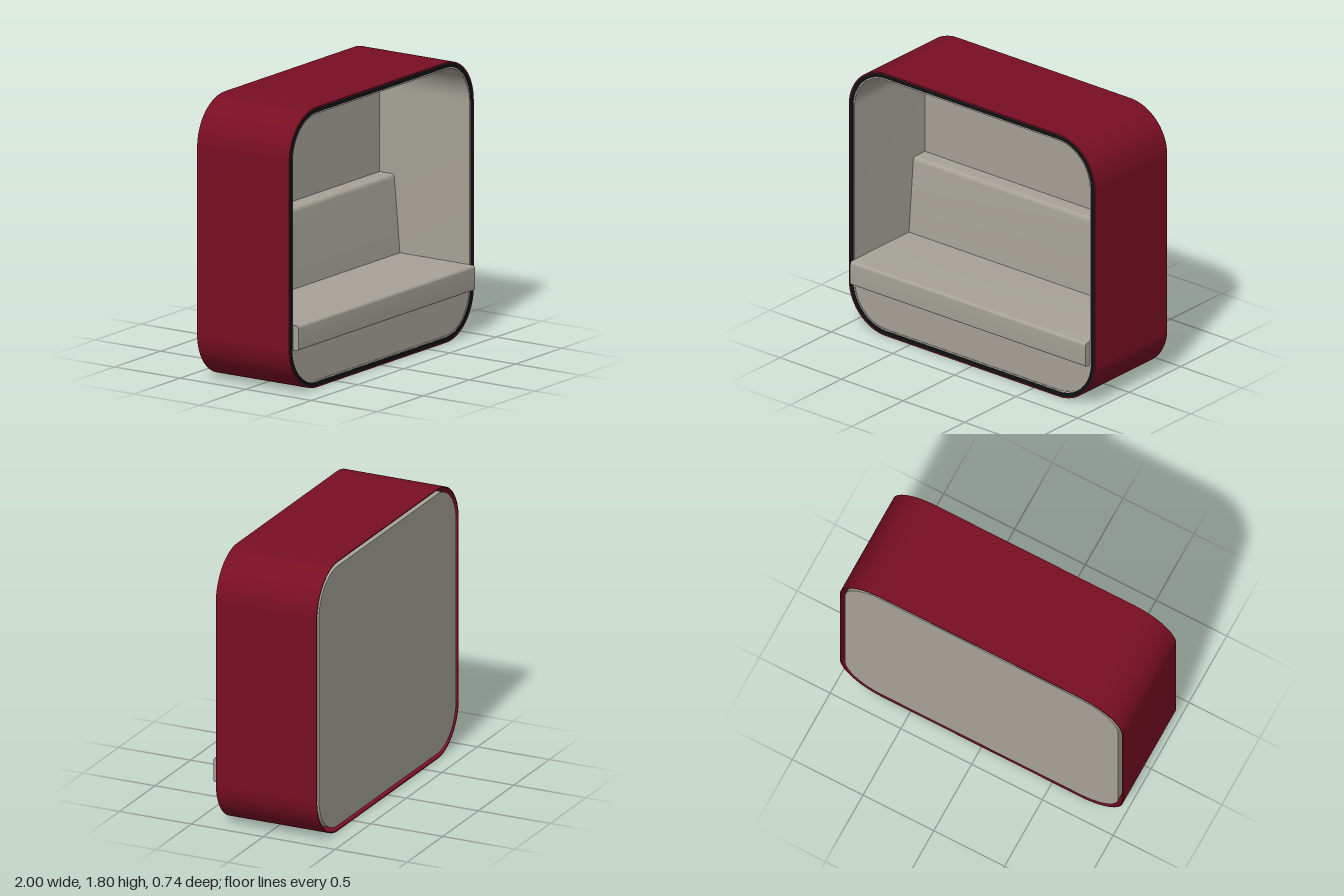
import * as THREE from 'three';
import { toCreasedNormals } from 'three/addons/utils/BufferGeometryUtils.js';

const HALF_W = 1, HALF_H = 0.9, RADIUS = 0.3;

// Rounded rectangle, inset evenly from the outer outline
function outline(inset, Type = THREE.Shape) {
  const w = HALF_W - inset, b = inset, t = 2 * HALF_H - inset, r = RADIUS - inset;
  const s = new Type();
  s.moveTo(-w + r, b);
  s.lineTo(w - r, b);
  s.absarc(w - r, b + r, r, -Math.PI / 2, 0, false);
  s.lineTo(w, t - r);
  s.absarc(w - r, t - r, r, 0, Math.PI / 2, false);
  s.lineTo(-w + r, t);
  s.absarc(-w + r, t - r, r, Math.PI / 2, Math.PI, false);
  s.lineTo(-w, b + r);
  s.absarc(-w + r, b + r, r, Math.PI, Math.PI * 1.5, false);
  return s;
}

// Extrude a front-facing shape between two depths
function slab(shape, z0, z1) {
  const g = new THREE.ExtrudeGeometry(shape, { depth: z1 - z0, bevelEnabled: false, curveSegments: 20 });
  return toCreasedNormals(g.translate(0, 0, z0), 0.6);
}

function ring(outer, inner, z0, z1) {
  const s = outline(outer);
  s.holes.push(outline(inner, THREE.Path));
  return slab(s, z0, z1);
}

// Extrude a side profile of [z, y, cornerRadius] points across the width
function acrossWidth(points, halfWidth) {
  const s = new THREE.Shape();
  const n = points.length;
  points.forEach(([z, y, r], i) => {
    const p = new THREE.Vector2(z, y);
    const toward = (q) => new THREE.Vector2(q[0], q[1]).sub(p).setLength(r).add(p);
    const a = toward(points[(i + n - 1) % n]), b = toward(points[(i + 1) % n]);
    if (i === 0) s.moveTo(a.x, a.y); else s.lineTo(a.x, a.y);
    if (r > 0) s.quadraticCurveTo(p.x, p.y, b.x, b.y);
  });
  const g = new THREE.ExtrudeGeometry(s, { depth: 2 * halfWidth, bevelEnabled: false, curveSegments: 6 });
  g.rotateY(-Math.PI / 2).translate(halfWidth, 0, 0);
  return toCreasedNormals(g, 0.6);
}

export function createModel() {
  const red = new THREE.MeshStandardMaterial({ color: 0x780e23 });
  red.name = 'burgundy';
  const grey = new THREE.MeshStandardMaterial({ color: 0xa6a298 });
  grey.name = 'warm grey';
  const black = new THREE.MeshStandardMaterial({ color: 0x111111 });
  black.name = 'black';

  const model = new THREE.Group();
  model.name = 'seatingPod';
  const add = (name, geometry, material) => {
    const mesh = new THREE.Mesh(geometry, material);
    mesh.name = name;
    model.add(mesh);
  };

  // Outer shell, front trim and inner lining, with a gap open to the back
  add('outerShell', ring(0, 0.007, -0.37, 0.33), red);
  add('frontTrim', ring(0.007, 0.035, 0.31, 0.33), black);
  add('innerLining', ring(0.035, 0.045, -0.365, 0.328), grey);
  add('backPanel', slab(outline(0.035), -0.369, -0.355), grey);

  // Solid base below the bench, following the rounded lower corners
  const w = 0.955, r = 0.255, b = 0.045;
  const base = new THREE.Shape();
  base.moveTo(-w + r, b);
  base.lineTo(w - r, b);
  base.absarc(w - r, b + r, r, -Math.PI / 2, 0, false);
  base.lineTo(-w, b + r);
  base.absarc(-w + r, b + r, r, Math.PI, Math.PI * 1.5, false);
  add('benchBase', slab(base, -0.355, 0.325), grey);

  // Bench cushion and leaning backrest
  add('benchSeat', acrossWidth([
    [-0.355, 0.29, 0], [0.37, 0.29, 0.015], [0.37, 0.45, 0.02], [-0.355, 0.45, 0],
  ], w), grey);
  add('backrest', acrossWidth([
    [-0.355, 0.44, 0], [-0.2, 0.44, 0], [-0.245, 0.95, 0.025], [-0.355, 0.95, 0],
  ], w), grey);

  return model;
}
